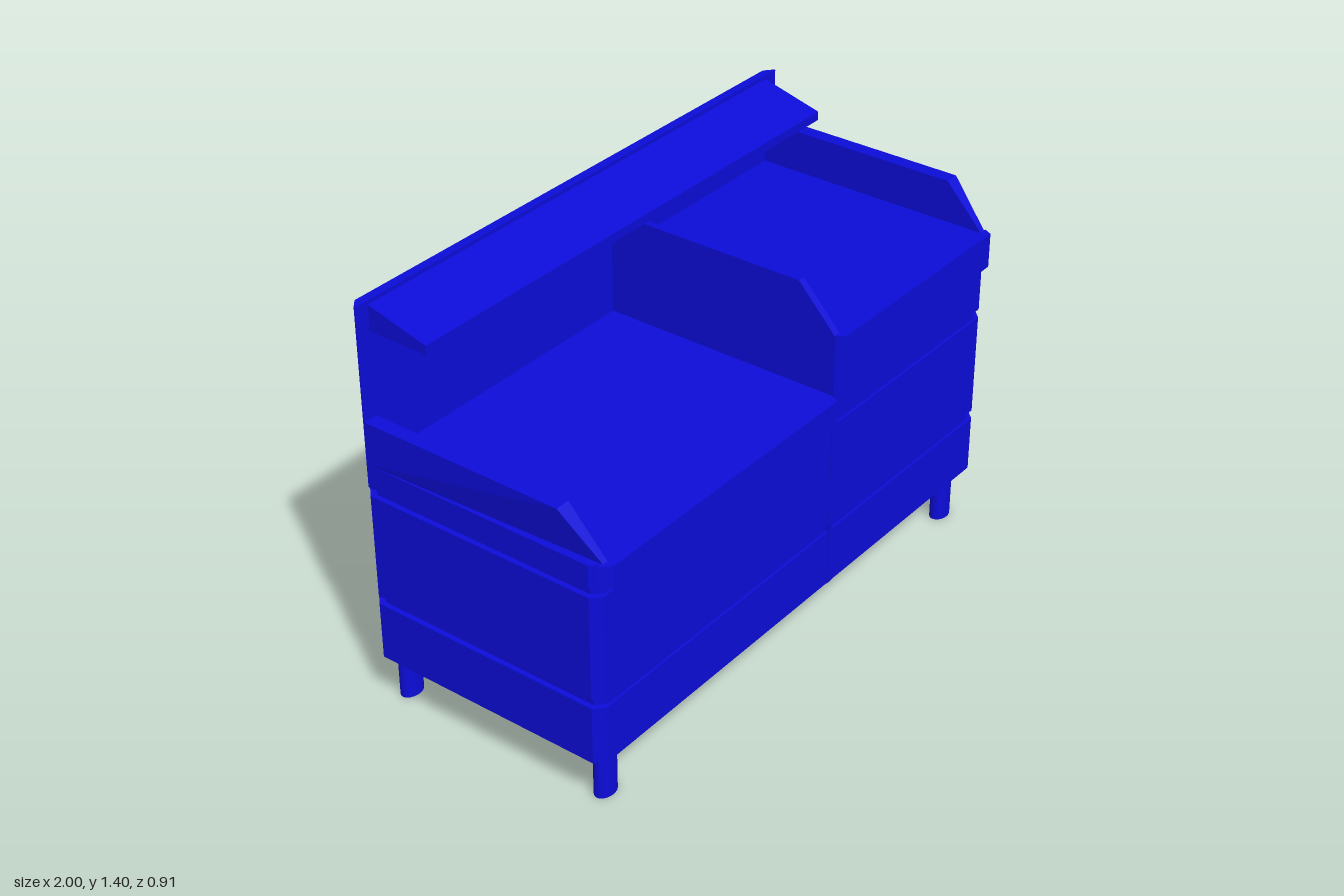
import * as THREE from 'three';

const material = new THREE.MeshStandardMaterial({ color: 0x0c0cd8, flatShading: true });
const smooth = new THREE.MeshStandardMaterial({ color: 0x0c0cd8 });

function extrude(points, depth) {
  const shape = new THREE.Shape(points.map(([a, b]) => new THREE.Vector2(a, b)));
  return new THREE.ExtrudeGeometry(shape, { depth, bevelEnabled: false });
}

export function createModel() {
  const group = new THREE.Group();

  function add(name, geometry, mat = material) {
    const mesh = new THREE.Mesh(geometry, mat);
    mesh.name = name;
    group.add(mesh);
    return mesh;
  }

  // Footprint given as [x, z] corners, raised from y0 to y1
  function slab(name, corners, y0, y1) {
    const geometry = extrude(corners.map(([x, z]) => [x, -z]), y1 - y0);
    geometry.rotateX(-Math.PI / 2).translate(0, y0, 0);
    return add(name, geometry);
  }

  // Side profile given as [z, y] corners, spanning x0 to x1
  function sideways(name, profile, x0, x1) {
    const geometry = extrude(profile.map(([z, y]) => [-z, y]), x1 - x0);
    geometry.rotateY(Math.PI / 2).translate(x0, 0, 0);
    return add(name, geometry);
  }

  const C = 0.03; // corner chamfer
  const chamfered = (hx, back, front) => [
    [-hx + C, front], [hx - C, front], [hx, front - C], [hx, back + C],
    [hx - C, back], [-hx + C, back], [-hx, back + C], [-hx, front - C],
  ];

  // Stacked lower carcass with recessed grooves
  const outer = chamfered(1, -0.455, 0.43);
  const inner = chamfered(0.982, -0.445, 0.422);
  slab('baseBand', outer, 0.18, 0.38);
  slab('lowerGroove', inner, 0.38, 0.41);
  slab('middleBand', outer, 0.41, 0.77);
  slab('upperGroove', inner, 0.77, 0.80);

  // Low counter on one side, high counter on the other
  const split = 0.13;
  slab('lowCounter', [[-1 + C, 0.43], [split, 0.43], [split, -0.43], [-1, -0.43], [-1, 0.40]], 0.80, 0.88);
  slab('highCounter', [[split, 0.43], [1 - C, 0.43], [1, 0.40], [1, -0.43], [split, -0.43]], 0.80, 1.09);

  // Front lips with bevelled ends
  slab('lowCounterLip', [[-0.99, 0.425], [-0.955, 0.457], [0.115, 0.457], [split, 0.428]], 0.80, 0.88);
  slab('highCounterLip', [[0.135, 0.428], [0.15, 0.457], [0.965, 0.457], [0.98, 0.428]], 0.97, 1.09);

  // Guards: flat top sloping down to the counter front
  const guardProfile = (top) => [[-0.43, top], [-0.43, top + 0.145], [0.295, top + 0.145], [0.43, top]];
  const guards = [
    ['rightSideGuard', 0.88, -1, -0.95],
    ['leftSideGuard', 1.09, 0.95, 1],
  ];
  for (const [name, top, x0, x1] of guards) {
    const guard = sideways(name, guardProfile(top), x0, x1);
    // Pull in the outer front corner to follow the body chamfer
    const pos = guard.geometry.attributes.position;
    for (let i = 0; i < pos.count; i++) {
      if (pos.getZ(i) > 0.42 && Math.abs(pos.getX(i)) > 0.99) {
        pos.setX(i, Math.sign(pos.getX(i)) * (1 - C));
      }
    }
    guard.geometry.computeVertexNormals();
  }
  sideways('divider', [[-0.43, 0.88], [-0.43, 1.235], [0.295, 1.235], [0.43, 1.09], [0.43, 0.88]], split, 0.155);
  add('frontJointStrip', new THREE.BoxGeometry(0.025, 0.91, 0.02).translate(0.1425, 0.635, 0.422));

  // Tall back panel with chamfered rear corners
  slab('backPanel', [[-1, -0.425], [1, -0.425], [1, -0.43], [1 - C, -0.455], [-1 + C, -0.455], [-1, -0.43]], 0.80, 1.405);

  // Wedge-shaped overhead shelf
  sideways('topShelf', [[-0.425, 1.305], [-0.425, 1.392], [-0.21, 1.335], [-0.21, 1.305]], -0.95, 0.945);

  // Oval legs
  for (const x of [-0.907, 0.907]) {
    for (const z of [0.367, -0.408]) {
      const geometry = new THREE.CylinderGeometry(0.043, 0.043, 0.19, 24);
      geometry.scale(1, 1, 0.7).translate(x, 0.095, z);
      add('leg', geometry, smooth);
    }
  }

  return group;
}
